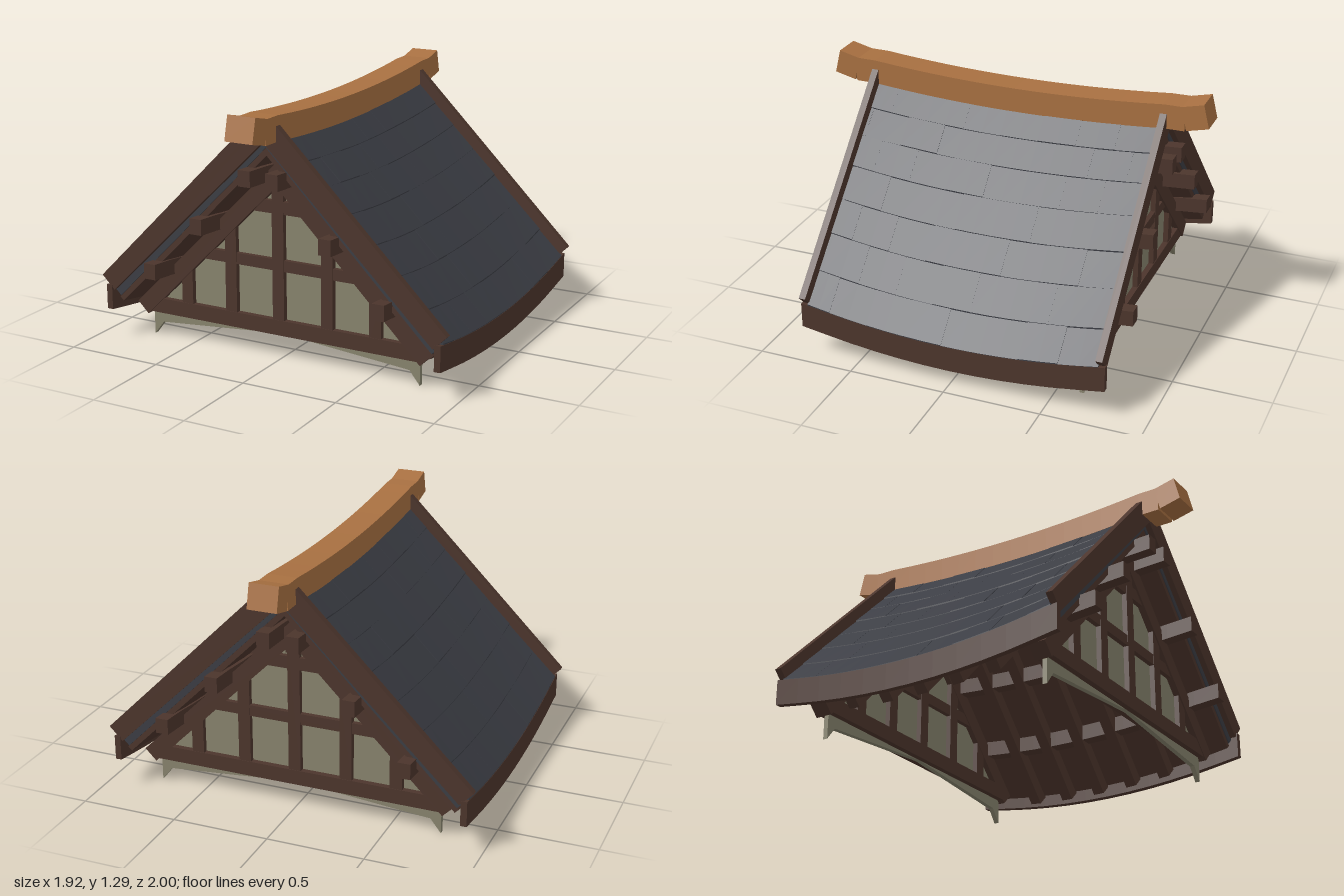
import * as THREE from 'three';

const mat = (name, color) => Object.assign(new THREE.MeshStandardMaterial({ color }), { name });

export function createModel() {
  const root = new THREE.Group();
  root.name = 'gableRoof';
  const timber = mat('dark timber', 0x4c352c);
  const slate = mat('slate', 0x3b3d44);
  const plaster = mat('plaster', 0x87836d);
  const ridgeWood = mat('ridge wood', 0xa87041);

  let seed = 7;
  const rand = () => (seed = (seed * 16807) % 2147483647) / 2147483647;

  // The roof dips towards its middle, more at the eaves than at the ridge
  const sag = (x, z) =>
    (0.035 + 0.043 * Math.abs(x)) * Math.max(0, 1 - (z / 0.78) ** 2);

  // Extrude an outline from z0 to z1, following the sag when bend is true
  function prism(name, material, pts, z0, z1, bend = true, steps = 8, parent = root) {
    const shape = new THREE.Shape(pts.map(([x, y]) => new THREE.Vector2(x, y)));
    const g = new THREE.ExtrudeGeometry(shape, { depth: z1 - z0, steps, bevelEnabled: false });
    g.translate(0, 0, z0);
    if (bend) {
      const p = g.attributes.position;
      for (let i = 0; i < p.count; i++) p.setY(i, p.getY(i) - sag(p.getX(i), p.getZ(i)));
      g.computeVertexNormals();
    }
    const mesh = new THREE.Mesh(g, material);
    mesh.name = name;
    parent.add(mesh);
    return mesh;
  }
  const rect = (x0, x1, y0, y1) => [[x0, y0], [x1, y0], [x1, y1], [x0, y1]];
  const flip = (pts, s) => pts.map(([x, y]) => [x * s, y]);
  // Band parallel to the 45 degree slope; a and b are its heights at x = 0
  const band = (a, b, x0, x1) => {
    const cut = (b - a) / 2;
    return [[x0, a - x0], [x1 - cut, a - x1 + cut], [x1, b - x1], [x0, b - x0]];
  };

  const courses = [0.93, 0.8, 0.66, 0.53, 0.4, 0.28, 0.17, 0.04];
  for (const s of [1, -1]) {
    const side = new THREE.Group();
    side.name = s > 0 ? 'leftSlope' : 'rightSlope';
    root.add(side);

    // Roof covering and the boards below it
    prism('slateBed', slate, flip(band(1.11, 1.217, 0, 0.925), s), -0.76, 0.76, true, 12, side);
    prism('roofDeck', timber, flip(band(1.07, 1.11, 0, 0.88), s), -0.755, 0.755, true, 12, side);

    // Courses of slates, staggered and slightly uneven
    for (let c = 0; c < 7; c++) {
      const x1 = courses[c], x0 = courses[c + 1];
      let z = -0.76;
      let next = z + (c % 2 ? 0.1 : 0.2);
      while (z < 0.755) {
        const end = Math.min(next, 0.76);
        const top = 1.222 + rand() * 0.005;
        const tile = [[x0, 1.2 - x0], [x1, 1.2 - x1], [x1, top + 0.004 - x1], [x0, top - x0]];
        prism('slateTile', slate, flip(tile, s), z, end, true, 2, side);
        z = end;
        next = z + 0.2;
      }
    }

    // Eave board
    prism('eaveBoard', timber, flip(rect(0.9, 0.932, 0.165, 0.295), s), -0.795, 0.795, true, 12, side);

    // Purlins poking out of both gables
    for (const [x, y] of [[0.633, 0.42], [0.355, 0.69], [0.075, 0.965]]) {
      prism('purlin', timber, flip(rect(x - 0.033, x + 0.033, y - 0.04, y + 0.04), s),
        -0.84, 0.84, true, 12, side);
    }

    // Rafters inside the roof
    for (const z of [-0.4, -0.2, 0, 0.2, 0.4]) {
      prism('rafter', timber, flip(band(0.97, 1.075, 0, 0.87), s), z - 0.03, z + 0.03, true, 1, side);
    }

    // Barge boards and gable rafters at both ends
    for (const e of [1, -1]) {
      const span = (a, b) => (e > 0 ? [a, b] : [-b, -a]);
      const barge = [[0, 1.14], [0.89, 0.27], [0.96, 0.34], [0.07, 1.23], [0, 1.23]];
      prism('bargeBoard', timber, flip(barge, s), ...span(0.755, 0.79), false, 1, side);
      prism('gableRafter', timber, flip(band(0.895, 1.015, 0, 0.83), s), ...span(0.58, 0.67), false, 1, side);
    }
  }

  // Ridge beam with upturned ends
  prism('ridgeBeam', ridgeWood, rect(-0.075, 0.075, 1.15, 1.275), -0.88, 0.88, true, 16);
  for (const e of [1, -1]) {
    const cap = new THREE.Mesh(new THREE.BoxGeometry(0.15, 0.124, 0.115), ridgeWood);
    cap.name = 'ridgeCap';
    cap.position.set(0, 1.227, e * 0.931);
    cap.rotation.x = -e * 0.24;
    root.add(cap);
  }

  // Timber framed gable walls
  for (const e of [1, -1]) {
    const wall = new THREE.Group();
    wall.name = e > 0 ? 'frontGable' : 'backGable';
    root.add(wall);
    const add = (name, material, pts, a, b) =>
      prism(name, material, pts, ...(e > 0 ? [a, b] : [-b, -a]), false, 1, wall);

    // Infill with a shallow arched lower edge
    add('plasterPanel', plaster, [[0, 0.14], [0.7, 0.08], [0.755, 0.01], [0.755, 0.13], [0, 0.96],
      [-0.755, 0.13], [-0.755, 0.01], [-0.7, 0.08]], 0.61, 0.635);
    add('tieBeam', timber, rect(-0.755, 0.755, 0.14, 0.218), 0.58, 0.665);
    add('middleRail', timber, rect(-0.45, 0.45, 0.47, 0.527), 0.585, 0.66);
    add('upperRail', timber, rect(-0.16, 0.16, 0.758, 0.822), 0.585, 0.66);
    for (const [x, top] of [[0, 0.97], [0.27, 0.67], [-0.27, 0.67], [0.53, 0.4], [-0.53, 0.4]]) {
      add('post', timber, rect(x - 0.032, x + 0.032, 0.2, top), 0.583, 0.662);
    }
  }
  return root;
}
